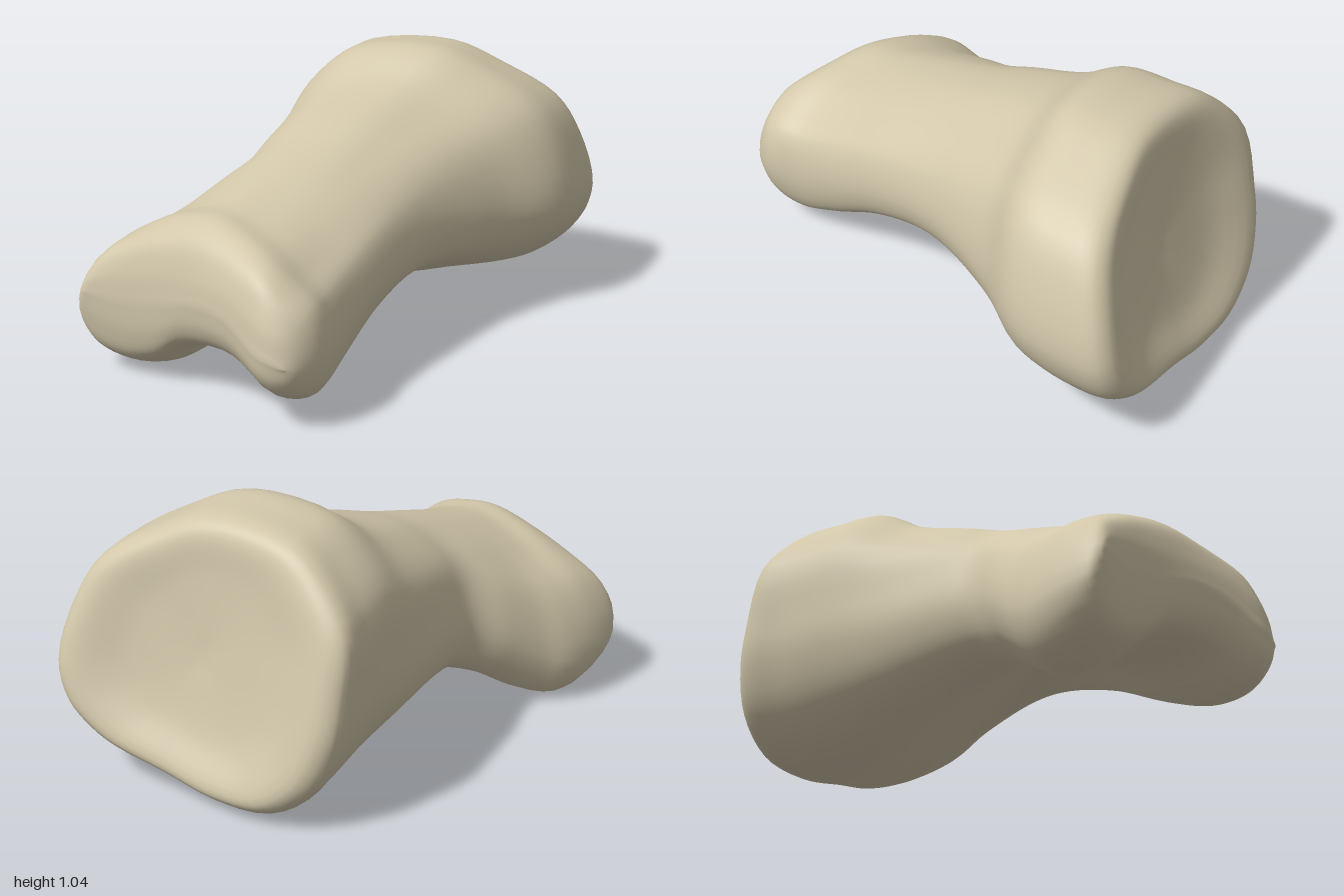
import * as THREE from 'three';
import { mergeVertices } from 'three/addons/utils/BufferGeometryUtils.js';

// Round joint base and kidney-shaped two-lobed head, counterclockwise seen from the front
const BASE = [[.75, .42], [.70, .66], [.61, .82], [.4, .95], [.2, 1.03], [-.14, 1], [-.28, .91], [-.41, .74], [-.42, .5],
  [-.4, .33], [-.32, .15], [-.16, .03], [.06, .015], [.28, .065], [.49, .12], [.59, .17], [.7, .27]];
const HEAD = [[.28, .24], [.25, .42], [.16, .5], [.06, .57], [-.07, .62], [-.22, .65], [-.38, .62], [-.52, .56], [-.68, .44],
  [-.76, .18], [-.7, .04], [-.58, 0], [-.45, .03], [-.3, .14], [-.07, .17], [.13, .08], [.23, .1]];

// Stations from back to front: z, left x, right x, bottom, top,
// blend (0 base, 1 head, 2 head's midline), tilt (over y in the back half, over x in the front half)
const STATIONS = [
  [-.83, .17, .17, .52, .52, 0, 0],
  [-.85, -.12, .46, .24, .81, 0, .2],
  [-.875, -.35, .68, .08, .97, 0, .23],
  [-.83, -.42, .745, .03, 1.01, 0, .2],
  [-.69, -.415, .755, .015, 1.03, 0, .16],
  [-.51, -.41, .72, .05, 1.03, .03, .1],
  [-.31, -.41, .55, .11, .92, .12, .05],
  [-.05, -.42, .41, .18, .84, .3, 0],
  [.1, -.44, .355, .19, .79, .45, .05],
  [.28, -.53, .31, .14, .74, .7, .2],
  [.46, -.62, .28, .04, .69, .88, .3],
  [.58, -.69, .275, 0, .66, 1, .38],
  [.69, -.74, .28, .02, .65, 1, .4],
  [.775, -.76, .27, .05, .62, 1.12, .35],
  [.81, -.75, .225, .05, .61, 1.5, .35],
  [.82, -.73, .18, .05, .61, 2, .35],
];

const COLUMNS = 68, ROWS = 80;
const { lerp, smoothstep } = THREE.MathUtils;

// Smooth a closed outline and fit it to the unit square
function unitOutline(points) {
  const curve = new THREE.CatmullRomCurve3(points.map(([x, y]) => new THREE.Vector3(x, y, 0)), true);
  const samples = Array.from({ length: COLUMNS }, (_, i) => curve.getPoint(i / COLUMNS));
  const box = new THREE.Box3().setFromPoints(samples);
  const size = box.getSize(new THREE.Vector3());
  return samples.map((p) => [(p.x - box.min.x) / size.x, (p.y - box.min.y) / size.y]);
}

// Tilt and bow a station: the base has a valley across it, the head a hollow between its lobes
function bend(x, z, dx, dy, tilt) {
  if (z < 0) return z + tilt * (dy - .9 * dx * dx);
  const front = smoothstep(z, .46, .78);
  return z + tilt * dx + front * (.32 * dx * dx - 3.3 * Math.max(0, x - .05) ** 2);
}

function boneGeometry() {
  const base = unitOutline(BASE), head = unitOutline(HEAD);
  // Midline of the head, halfway between its upper and lower edges
  const midline = head.map((p, i) => p.map((v, k) => (v + head[(COLUMNS - i) % COLUMNS][k]) / 2));
  const profiles = [base, head, midline, midline];

  // One lengthwise curve per column
  const columns = base.map((_, i) => new THREE.CatmullRomCurve3(
    STATIONS.map(([z, x0, x1, y0, y1, blend, tilt]) => {
      const step = Math.floor(blend);
      const from = profiles[step][i], to = profiles[step + 1][i];
      const x = lerp(x0, x1, lerp(from[0], to[0], blend - step));
      const y = lerp(y0, y1, lerp(from[1], to[1], blend - step));
      return new THREE.Vector3(x, y, bend(x, z, x - (x0 + x1) / 2, y - (y0 + y1) / 2, tilt));
    })));

  const positions = [], index = [];
  for (let r = 0; r <= ROWS; r++) {
    for (const column of columns) positions.push(...column.getPoint(r / ROWS).toArray());
  }
  for (let r = 0; r < ROWS; r++) {
    for (let i = 0; i < COLUMNS; i++) {
      const a = r * COLUMNS + i, b = r * COLUMNS + (i + 1) % COLUMNS;
      const c = b + COLUMNS, d = a + COLUMNS;
      index.push(a, b, c, a, c, d);
    }
  }
  const geometry = new THREE.BufferGeometry();
  geometry.setAttribute('position', new THREE.Float32BufferAttribute(positions, 3));
  geometry.setIndex(index);
  // Close the back centre and the front seam
  const merged = mergeVertices(geometry, 1e-4);
  merged.computeVertexNormals();
  return merged;
}

export function createModel() {
  const ivory = new THREE.MeshStandardMaterial({ color: 0xd2c7aa });
  ivory.name = 'ivory';
  const bone = new THREE.Mesh(boneGeometry(), ivory);
  bone.name = 'bone';
  const group = new THREE.Group();
  group.name = 'fingerBone';
  group.add(bone);
  return group;
}
